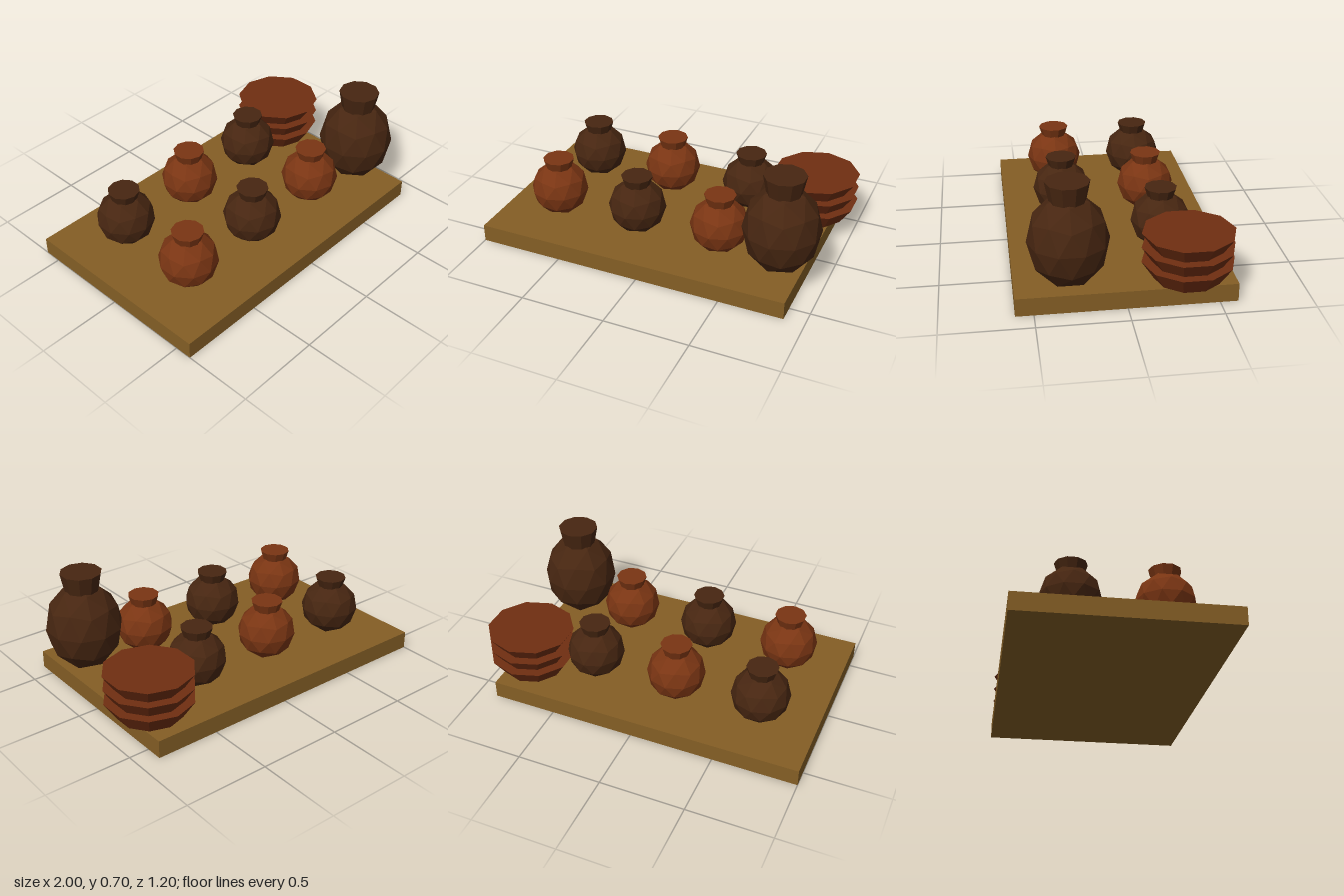
import * as THREE from 'three';

const material = (name, color) => {
  const m = new THREE.MeshStandardMaterial({ color, flatShading: true });
  m.name = name;
  return m;
};

export function createModel() {
  const wood = material('ochre wood', 0x845e25);
  const terracotta = material('terracotta', 0x7a3513);
  const darkClay = material('dark brown clay', 0x472611);
  const bowlClay = material('red brown clay', 0x702e11);

  const model = new THREE.Group();
  model.name = 'potteryBoard';
  const boardTop = 0.104;

  const add = (parent, name, geometry, mat, x, y, z) => {
    const mesh = new THREE.Mesh(geometry, mat);
    mesh.name = name;
    mesh.position.set(x, y, z);
    parent.add(mesh);
  };

  // Faceted ball with a corner at each pole, upper ring corner towards +x
  const ball = (radius, height) => new THREE.IcosahedronGeometry(1, 1)
    .rotateX(-Math.atan((1 + Math.sqrt(5)) / 2))
    .rotateY(Math.PI / 2)
    .scale(radius, height / 2, radius);

  // Round-bellied pot with a flared, closed neck
  const addPot = (name, mat, x, z, s) => {
    const pot = new THREE.Group();
    pot.name = name;
    pot.position.set(x, boardTop, z);
    add(pot, 'belly', ball(s.radius, s.height), mat, 0, s.height / 2, 0);
    const neckHeight = s.top - s.neckBase;
    add(pot, 'neck', new THREE.CylinderGeometry(s.rim, s.throat, neckHeight, 10),
      mat, 0, s.neckBase + neckHeight / 2 - boardTop, 0);
    model.add(pot);
  };

  // Board
  add(model, 'board', new THREE.BoxGeometry(1.88, boardTop, 1.2), wood, -0.06, boardTop / 2, 0);

  // Two rows of small pots in alternating clays
  const small = { radius: 0.17, height: 0.33, rim: 0.092, throat: 0.07, neckBase: 0.395, top: 0.465 };
  [-0.66, -0.145, 0.37].forEach((x, i) => {
    const odd = i % 2 === 1;
    addPot('frontPot', odd ? darkClay : terracotta, x, 0.255, small);
    addPot('backPot', odd ? terracotta : darkClay, x, -0.26, small);
  });

  // Tall jar overhanging the board's edge
  addPot('tallJar', darkClay, 0.753, 0.302,
    { radius: 0.222, height: 0.532, rim: 0.12, throat: 0.097, neckBase: 0.59, top: 0.705 });

  // Stack of three flared bowls
  const bowls = new THREE.Group();
  bowls.name = 'bowlStack';
  bowls.position.set(0.755, boardTop, -0.344);
  for (let i = 0; i < 3; i++) {
    add(bowls, 'bowl', new THREE.CylinderGeometry(0.256, 0.187, 0.103, 10), bowlClay, 0, 0.0515 + i * 0.085, 0);
  }
  model.add(bowls);

  return model;
}
